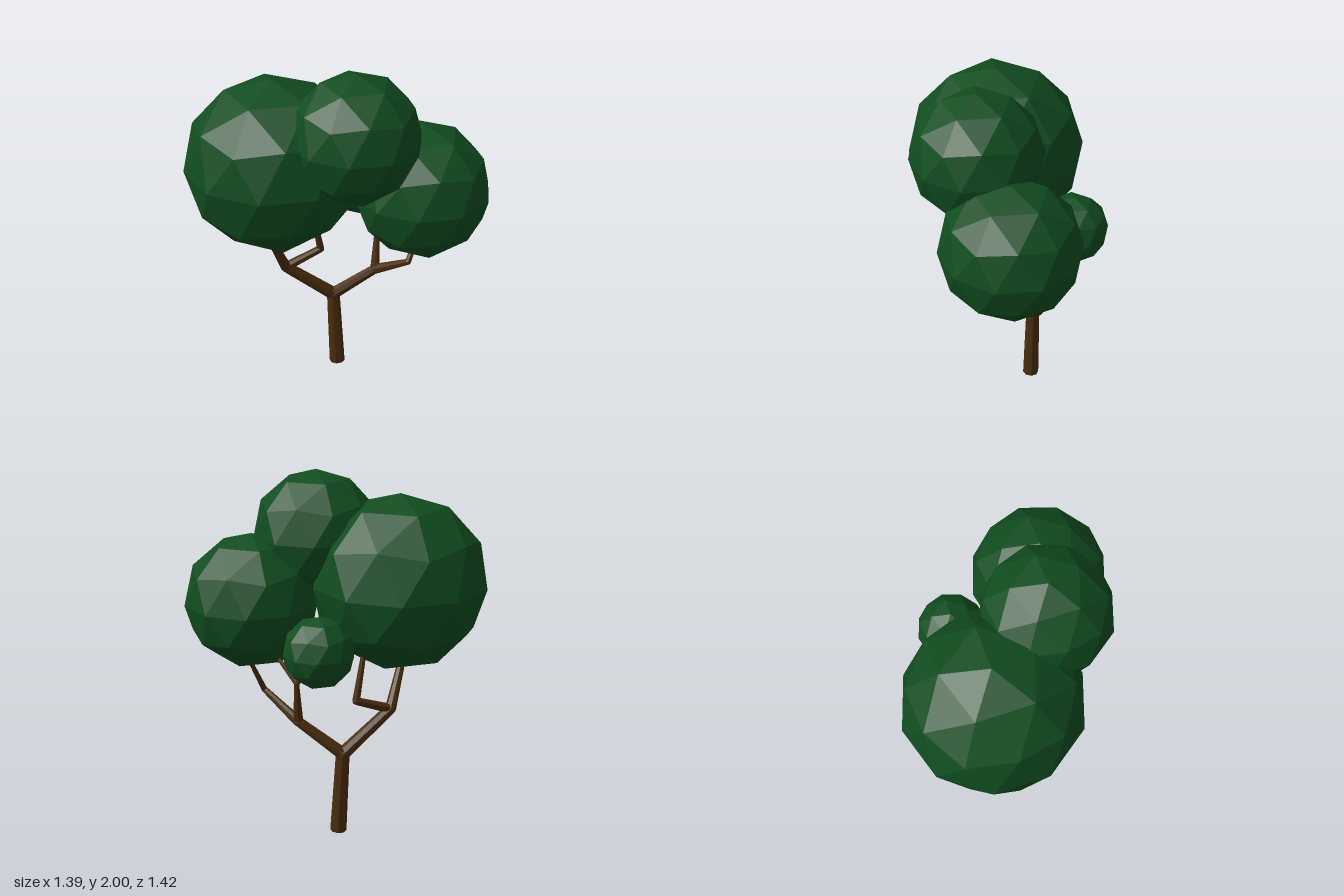
import * as THREE from 'three';

const bark = new THREE.MeshStandardMaterial({ color: 0x4a2d0e, flatShading: true });
const leaf = new THREE.MeshStandardMaterial({ color: 0x114d20, flatShading: true });

const UP = new THREE.Vector3(0, 1, 0);

// Faceted ball with one vertex pointing straight up
function facetedBall(radius) {
  return new THREE.IcosahedronGeometry(radius, 1)
    .rotateZ(Math.atan2(2, 1 + Math.sqrt(5)))
    .rotateY(THREE.MathUtils.degToRad(47));
}

// Chain of tapered limbs through points [x, y, z, radius], with a knuckle at each bend
function limb(name, points) {
  const group = new THREE.Group();
  group.name = name;
  for (let i = 0; i < points.length - 1; i++) {
    const a = new THREE.Vector3(...points[i]);
    const b = new THREE.Vector3(...points[i + 1]);
    const dir = b.clone().sub(a);
    const segment = new THREE.Mesh(
      new THREE.CylinderGeometry(points[i + 1][3], points[i][3], dir.length(), 8), bark);
    segment.name = name + 'Segment';
    segment.position.copy(a).add(b).multiplyScalar(0.5);
    segment.quaternion.setFromUnitVectors(UP, dir.normalize());
    group.add(segment);
    if (i > 0) {
      const knuckle = new THREE.Mesh(facetedBall(points[i][3]), bark);
      knuckle.name = name + 'Knuckle';
      knuckle.position.copy(a);
      group.add(knuckle);
    }
  }
  return group;
}

export function createModel() {
  const tree = new THREE.Group();
  tree.name = 'tree';

  // Shared forks
  const crotch = [-0.148, 0.48, -0.11];
  const frontFork = [-0.255, 0.71, 0.15];
  const backFork = [0.02, 0.67, -0.285];
  const twigFork = [-0.01, 0.91, -0.32];

  // Trunk and branches
  tree.add(
    limb('trunk', [[-0.125, 0.005, -0.122, 0.046], [...crotch, 0.038]]),
    limb('frontBranch', [[...crotch, 0.038], [...frontFork, 0.031], [-0.2, 1.02, 0.31, 0.018]]),
    limb('frontInnerBranch', [[...frontFork, 0.027], [-0.19, 0.79, -0.05, 0.021], [-0.19, 1.08, 0.01, 0.013]]),
    limb('backBranch', [[...crotch, 0.038], [...backFork, 0.029], [0.245, 0.81, -0.34, 0.017], [0.215, 1.06, -0.48, 0.011]]),
    limb('backInnerBranch', [[...backFork, 0.027], [...twigFork, 0.014], [0.16, 1.07, -0.35, 0.009]]),
    limb('twig', [[...twigFork, 0.013], [-0.14, 1.02, -0.3, 0.009]]),
  );

  // Knuckle closing the main fork
  const knuckle = new THREE.Mesh(facetedBall(0.04), bark);
  knuckle.name = 'mainForkKnuckle';
  knuckle.position.set(...crotch);
  tree.add(knuckle);

  // Foliage clumps: name, centre, radius
  const clumps = [
    ['largeFoliage', [-0.22, 1.415, 0.235], 0.483],
    ['topFoliage', [0.19, 1.65, 0.0], 0.35],
    ['backFoliage', [0.325, 1.308, -0.345], 0.372],
    ['smallFoliage', [-0.205, 1.14, -0.33], 0.192],
  ];
  for (const [name, centre, radius] of clumps) {
    const clump = new THREE.Mesh(facetedBall(radius), leaf);
    clump.name = name;
    clump.position.set(...centre);
    tree.add(clump);
  }
  return tree;
}
